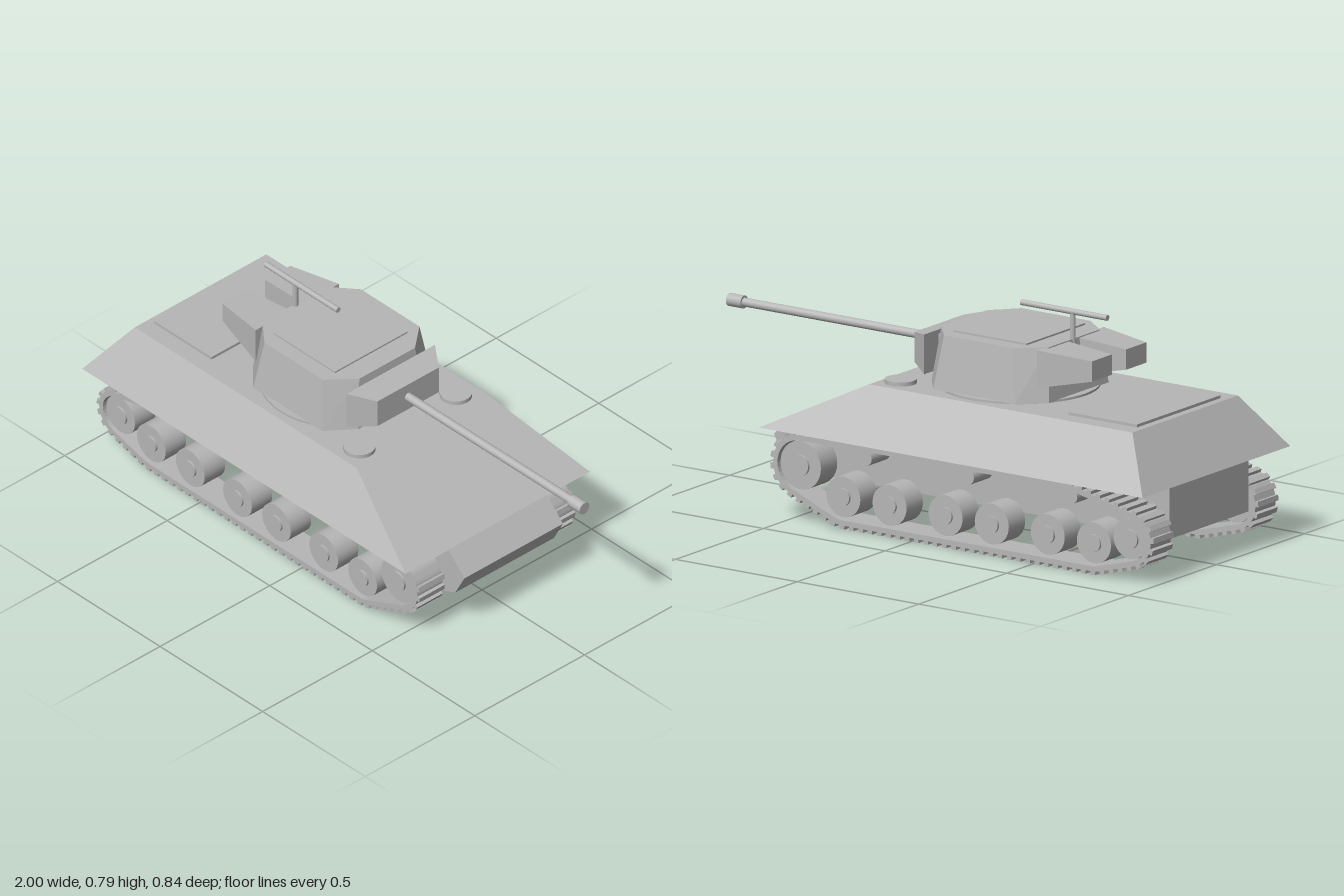
import * as THREE from 'three';
import { mergeGeometries } from 'three/addons/utils/BufferGeometryUtils.js';

const steel = new THREE.MeshStandardMaterial({ color: 0xb6b6b6 });
steel.name = 'grey steel';

// Flat-faced solid between two rings, counter-clockwise as seen from the second
function loft(a, b) {
  const pos = [];
  const tri = (...pts) => pts.forEach((p) => pos.push(...p));
  const n = a.length;
  for (let i = 0; i < n; i++) {
    const j = (i + 1) % n;
    tri(a[i], a[j], b[j]);
    tri(a[i], b[j], b[i]);
    if (i > 0 && i < n - 1) {
      tri(b[0], b[i], b[j]);
      tri(a[0], a[j], a[i]);
    }
  }
  const g = new THREE.BufferGeometry();
  g.setAttribute('position', new THREE.Float32BufferAttribute(pos, 3));
  g.computeVertexNormals();
  return g;
}

// Rectangle rings facing up (at height y) and facing forward (at x)
const upRing = (y, x0, x1, z) => [[x0, y, z], [x1, y, z], [x1, y, -z], [x0, y, -z]];
const fwdRing = (x, y0, y1, z0, z1) => [[x, y0, z0], [x, y1, z0], [x, y1, z1], [x, y0, z1]];

// Octagon ring for the turret; xa..xb is the straight side, zr and zf the rear and front corners
const octRing = (y, x0, xa, xb, x1, z, zr, zf) => [
  [x0, y, zr], [xa, y, z], [xb, y, z], [x1, y, zf],
  [x1, y, -zf], [xb, y, -z], [xa, y, -z], [x0, y, -zr],
];

const cylX = (r, x0, x1, y, z = 0) =>
  new THREE.CylinderGeometry(r, r, x1 - x0, 24).rotateZ(-Math.PI / 2).translate((x0 + x1) / 2, y, z);
const cylY = (r, y0, y1, x, z = 0, seg = 32) =>
  new THREE.CylinderGeometry(r, r, y1 - y0, seg).translate(x, (y0 + y1) / 2, z);
const cylZ = (r, z0, z1, x, y) =>
  new THREE.CylinderGeometry(r, r, z1 - z0, 32).rotateX(Math.PI / 2).translate(x, y, (z0 + z1) / 2);

const roadX = [-0.745, -0.555, -0.325, -0.135, 0.095, 0.285];
const rollerX = [-0.64, -0.215, 0.205];
const idler = [-0.895, 0.145, 0.07];
const sprocket = [0.46, 0.19, 0.083];

// Points of a belt pulled tight around the wheels, at a distance from their rims
function beltLoop(offset) {
  const c = [idler, [roadX[0], 0.108, 0.074], [roadX[5], 0.108, 0.074], sprocket,
    [rollerX[2], 0.25, 0.027], [rollerX[0], 0.25, 0.027]];
  const n = c.length;
  const leave = c.map(([x, y, r], i) => {
    const [x2, y2, r2] = c[(i + 1) % n];
    return Math.atan2(y2 - y, x2 - x) - Math.acos((r - r2) / Math.hypot(x2 - x, y2 - y));
  });
  const pts = [];
  c.forEach(([x, y, r], i) => {
    const from = leave[(i + n - 1) % n];
    const turn = leave[i] - from;
    const sweep = Math.atan2(Math.sin(turn), Math.cos(turn));
    const steps = Math.max(1, Math.ceil(Math.abs(sweep) / 0.2));
    for (let k = 0; k <= steps; k++) {
      const t = from + (sweep * k) / steps;
      pts.push(new THREE.Vector2(x + (r + offset) * Math.cos(t), y + (r + offset) * Math.sin(t)));
    }
  });
  return pts;
}

// Belt with evenly spaced cleats
function trackGeometry(z0, z1) {
  const outer = beltLoop(0.022);
  const shape = new THREE.Shape(outer);
  shape.holes.push(new THREE.Path(beltLoop(0.004)));
  const belt = new THREE.ExtrudeGeometry(shape, { depth: z1 - z0, bevelEnabled: false }).translate(0, 0, z0);
  const parts = [belt.index ? belt.toNonIndexed() : belt];
  const path = new THREE.Path([...outer, outer[0].clone()]);
  const count = 88;
  const spots = path.getSpacedPoints(count);
  for (let i = 0; i < count; i++) {
    const p = spots[i];
    const before = spots[(i + count - 1) % count];
    const after = spots[i + 1];
    const cleat = new THREE.BoxGeometry(0.019, 0.024, z1 - z0);
    cleat.rotateZ(Math.atan2(after.y - before.y, after.x - before.x));
    parts.push(cleat.translate(p.x, p.y, (z0 + z1) / 2).toNonIndexed());
  }
  return mergeGeometries(parts);
}

export function createModel() {
  const model = new THREE.Group();
  model.name = 'tank';
  const add = (name, geometry, parent = model) => {
    const mesh = new THREE.Mesh(geometry, steel);
    mesh.name = name;
    parent.add(mesh);
    return mesh;
  };

  // Hull
  add('upperHull', loft(upRing(0.318, -1, 0.577, 0.42), upRing(0.498, -0.872, 0.21, 0.3)));
  const profile = new THREE.Shape([[-0.97, 0.13], [0.53, 0.13], [0.61, 0.16], [0.655, 0.243], [0.577, 0.32], [-0.97, 0.32]]
    .map(([x, y]) => new THREE.Vector2(x, y)));
  add('lowerHull', new THREE.ExtrudeGeometry(profile, { depth: 0.45, bevelEnabled: false }).translate(0, 0, -0.225));
  add('engineDeck', new THREE.BoxGeometry(0.28, 0.012, 0.475).translate(-0.705, 0.502, 0));
  for (const s of [1, -1]) add('crewHatch', cylY(0.054, 0.49, 0.512, 0.138, s * 0.22));

  // Turret
  const turret = new THREE.Group();
  turret.name = 'turret';
  model.add(turret);
  add('turretRing', cylY(0.272, 0.49, 0.506, -0.19, 0, 48), turret);
  add('turretBody', loft(
    octRing(0.504, -0.435, -0.35, -0.015, 0.06, 0.248, 0.17, 0.152),
    octRing(0.688, -0.415, -0.325, -0.04, 0.038, 0.22, 0.145, 0.127)), turret);
  add('roofPlate', new THREE.BoxGeometry(0.3, 0.012, 0.33).translate(-0.19, 0.688, 0), turret);
  add('mantlet', loft(fwdRing(0.055, 0.535, 0.672, -0.202, 0.202), fwdRing(0.14, 0.553, 0.655, -0.14, 0.14)), turret);
  add('mantletMount', new THREE.BoxGeometry(0.06, 0.11, 0.24).translate(0.035, 0.603, 0), turret);
  add('gunBarrel', cylX(0.015, 0.1, 0.96, 0.605), turret);
  add('muzzle', cylX(0.022, 0.94, 1, 0.605), turret);

  // Rear stowage bins
  for (const s of [1, -1]) {
    const [r0, r1] = s > 0 ? [0.04, 0.155] : [-0.155, -0.04];
    const [f0, f1] = s > 0 ? [0.03, 0.19] : [-0.19, -0.03];
    add('stowageBin', loft(fwdRing(-0.6, 0.6, 0.67, r0, r1), fwdRing(-0.4, 0.555, 0.685, f0, f1)), turret);
  }

  // Roof gun
  add('roofGunPost', cylY(0.01, 0.65, 0.775, -0.41, 0, 16), turret);
  add('roofGun', cylX(0.01, -0.553, -0.2, 0.78), turret);

  // Running gear on both sides
  for (const s of [1, -1]) {
    const gear = new THREE.Group();
    gear.name = s > 0 ? 'leftRunningGear' : 'rightRunningGear';
    model.add(gear);
    const span = (a, b) => (s > 0 ? [a, b] : [-b, -a]);
    const wheel = (name, r, hub, x, y) => {
      add(name, cylZ(r, ...span(0.25, 0.343), x, y), gear);
      add(name + 'Hub', cylZ(hub, ...span(0.3, 0.351), x, y), gear);
      add(name + 'Axle', cylZ(0.018, ...span(0.217, 0.26), x, y), gear);
    };
    add('track', trackGeometry(...span(0.24, 0.355)), gear);
    wheel('idler', idler[2], 0.033, idler[0], idler[1]);
    wheel('sprocket', sprocket[2], 0.036, sprocket[0], sprocket[1]);
    for (const x of roadX) wheel('roadWheel', 0.07, 0.03, x, 0.108);
    for (const x of rollerX) add('returnRoller', cylZ(0.027, ...span(0.2, 0.33), x, 0.25), gear);
  }
  return model;
}
